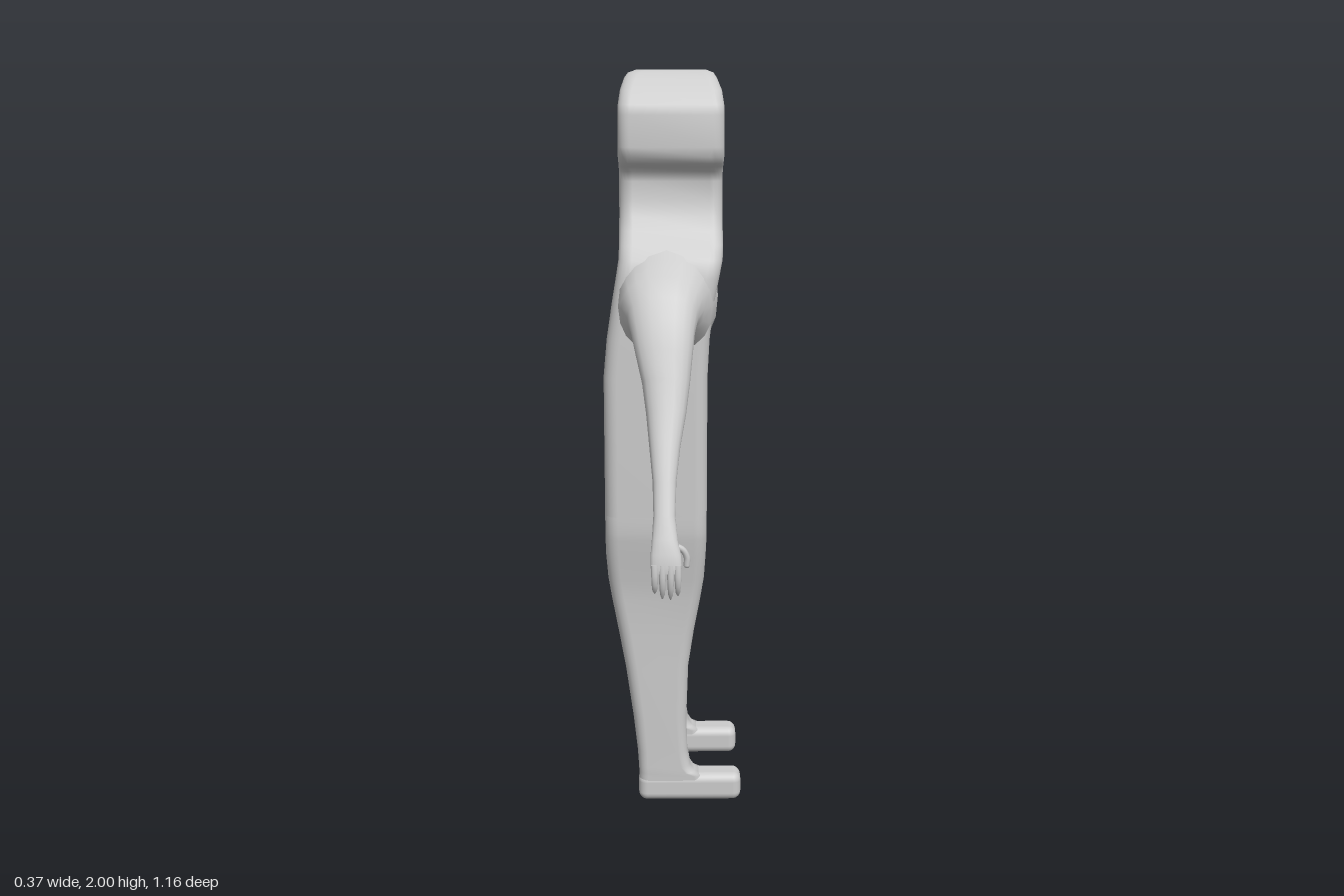
import * as THREE from 'three';
import { RoundedBoxGeometry } from 'three/addons/geometries/RoundedBoxGeometry.js';

const material = new THREE.MeshStandardMaterial({ color: 0xcccccc });

// Smooth skin through equal-length rings, closed with a flat cap at each end.
function loft(rings) {
  const n = rings[0].length, last = rings.length - 1;
  const points = rings.flat(), index = [];
  for (let j = 0; j < last; j++) {
    for (let i = 0; i < n; i++) {
      const k = (i + 1) % n, a = j * n, b = a + n;
      index.push(a + i, a + k, b + i, a + k, b + k, b + i);
    }
  }
  [0, last].forEach((j) => {
    const base = points.length;
    points.push(...rings[j]);
    for (let i = 1; i < n - 1; i++) {
      if (j) index.push(base, base + i, base + i + 1);
      else index.push(base, base + i + 1, base + i);
    }
  });
  const geometry = new THREE.BufferGeometry().setFromPoints(points);
  geometry.setIndex(index);
  geometry.computeVertexNormals();
  return geometry;
}

// Horizontal rounded rectangle at height y, spanning x0..x1 and z0..z1.
function boxRing([y, x0, x1, z0, z1, r]) {
  const ring = [], steps = 5;
  const corners = [[x1 - r, z0 + r], [x0 + r, z0 + r], [x0 + r, z1 - r], [x1 - r, z1 - r]];
  corners.forEach(([cx, cz], q) => {
    for (let i = 0; i <= steps; i++) {
      const t = (q + i / steps) * Math.PI / 2;
      ring.push(new THREE.Vector3(cx + r * Math.cos(t), y, cz - r * Math.sin(t)));
    }
  });
  return ring;
}

// Tilted oval spanning x0..x1 between an outer and an inner outline point.
function limbRing([x0, x1, zOut, yOut, zIn, yIn]) {
  return Array.from({ length: 20 }, (_, i) => {
    const t = i / 20 * Math.PI * 2;
    const c = Math.sign(Math.cos(t)) * Math.abs(Math.cos(t)) ** 0.85;
    const s = Math.sign(Math.sin(t)) * Math.abs(Math.sin(t)) ** 0.85;
    return new THREE.Vector3(
      (x0 + x1) / 2 + c * (x1 - x0) / 2,
      (yOut + yIn) / 2 + s * (yOut - yIn) / 2,
      (zOut + zIn) / 2 + s * (zOut - zIn) / 2);
  });
}

function part(name, geometry, parent) {
  const mesh = new THREE.Mesh(geometry, material);
  mesh.name = name;
  parent.add(mesh);
  return mesh;
}

// Torso, neck and head: y, back x, front x, half width, corner radius
const bodySections = [
  [0.845, -0.187, 0.085, 0.225, 0.035],
  [1.0, -0.187, 0.085, 0.226, 0.035],
  [1.22, -0.187, 0.085, 0.226, 0.035],
  [1.32, -0.178, 0.09, 0.225, 0.035],
  [1.42, -0.163, 0.102, 0.225, 0.035],
  [1.48, -0.153, 0.114, 0.223, 0.035],
  [1.525, -0.146, 0.123, 0.21, 0.035],
  [1.56, -0.145, 0.125, 0.18, 0.035],
  [1.595, -0.145, 0.125, 0.148, 0.035],
  [1.63, -0.145, 0.125, 0.127, 0.035],
  [1.67, -0.145, 0.125, 0.117, 0.035],
  [1.72, -0.145, 0.125, 0.112, 0.035],
  [1.745, -0.145, 0.125, 0.122, 0.035],
  [1.758, -0.145, 0.125, 0.145, 0.035],
  [1.768, -0.145, 0.125, 0.17, 0.035],
  [1.785, -0.146, 0.126, 0.185, 0.035],
  [1.81, -0.146, 0.126, 0.189, 0.03],
  [1.89, -0.146, 0.126, 0.187, 0.03],
  [1.915, -0.145, 0.125, 0.178, 0.03],
  [1.95, -0.14, 0.12, 0.15, 0.03],
  [1.98, -0.13, 0.108, 0.122, 0.03],
  [1.993, -0.12, 0.1, 0.105, 0.03],
  [2.0, -0.1, 0.082, 0.08, 0.03],
];

// Leg: y, back x, front x, inner z, outer z, corner radius
const legSections = [
  [0.02, -0.099, 0.08, 0.112, 0.188, 0.025],
  [0.075, -0.1, 0.078, 0.111, 0.189, 0.025],
  [0.085, -0.1, 0.055, 0.111, 0.19, 0.025],
  [0.105, -0.101, 0.042, 0.11, 0.19, 0.025],
  [0.15, -0.104, 0.035, 0.107, 0.19, 0.027],
  [0.25, -0.115, 0.032, 0.1, 0.191, 0.03],
  [0.4, -0.136, 0.037, 0.092, 0.191, 0.033],
  [0.5, -0.154, 0.052, 0.088, 0.191, 0.035],
  [0.6, -0.172, 0.07, 0.085, 0.194, 0.035],
  [0.66, -0.181, 0.079, 0.08, 0.202, 0.035],
  [0.73, -0.186, 0.083, 0.072, 0.214, 0.035],
  [0.78, -0.187, 0.085, 0.062, 0.222, 0.035],
  [0.8, -0.187, 0.085, 0.048, 0.224, 0.035],
  [0.825, -0.187, 0.085, 0.018, 0.225, 0.035],
  [0.85, -0.187, 0.085, -0.02, 0.225, 0.035],
];

// Arm: back x, front x, outer z and y, inner z and y
const armSections = [
  [-0.145, 0.112, 0.15, 1.58, 0.17, 1.28],
  [-0.147, 0.095, 0.215, 1.53, 0.225, 1.29],
  [-0.137, 0.075, 0.265, 1.492, 0.245, 1.325],
  [-0.122, 0.058, 0.305, 1.45, 0.268, 1.333],
  [-0.112, 0.049, 0.34, 1.395, 0.29, 1.32],
  [-0.1, 0.043, 0.367, 1.33, 0.31, 1.28],
  [-0.084, 0.036, 0.395, 1.26, 0.33, 1.215],
  [-0.074, 0.026, 0.425, 1.185, 0.367, 1.15],
  [-0.066, 0.011, 0.465, 1.1, 0.41, 1.085],
  [-0.058, 0.001, 0.5, 1.02, 0.453, 1.01],
  [-0.056, -0.002, 0.533, 0.945, 0.497, 0.935],
  [-0.06, 0.004, 0.557, 0.89, 0.53, 0.88],
  [-0.063, 0.012, 0.57, 0.855, 0.547, 0.85],
  [-0.063, 0.014, 0.577, 0.825, 0.558, 0.822],
  [-0.06, 0.011, 0.577, 0.808, 0.564, 0.808],
];

// Finger curl: half thickness in x, outer z and y, inner z and y
const fingerSections = [
  [0.0085, 0.577, 0.83, 0.56, 0.83],
  [0.0085, 0.581, 0.8, 0.565, 0.8],
  [0.0075, 0.577, 0.77, 0.563, 0.773],
  [0.006, 0.567, 0.748, 0.558, 0.754],
  [0.002, 0.558, 0.736, 0.555, 0.739],
];

function createSide(side) {
  const group = new THREE.Group();
  group.name = side + 'Limbs';

  part('leg', loft(legSections.map(boxRing)), group);
  part('foot', new RoundedBoxGeometry(0.286, 0.08, 0.08, 4, 0.024), group)
    .position.set(0.042, 0.04, 0.15);
  part('arm', loft(armSections.map(limbRing)), group);

  // Four curled fingers, the outer two slightly shorter
  [-0.053, -0.034, -0.014, 0.004].forEach((x, i) => {
    const lift = [0.016, 0.002, 0, 0.01][i];
    const rings = fingerSections.map(([h, zo, yo, zi, yi], j) =>
      limbRing([x - h, x + h, zo, yo + lift * j / 4, zi, yi + lift * j / 4]));
    part('finger', loft(rings), group);
  });

  // Thumb sticking forward, then bending down
  const thumb = new THREE.CatmullRomCurve3([
    new THREE.Vector3(-0.01, 0.875, 0.548),
    new THREE.Vector3(0.016, 0.86, 0.543),
    new THREE.Vector3(0.026, 0.84, 0.54),
    new THREE.Vector3(0.026, 0.82, 0.539),
  ]);
  part('thumb', new THREE.TubeGeometry(thumb, 14, 0.008, 10), group);
  part('thumbTip', new THREE.SphereGeometry(0.008, 10, 8), group)
    .position.copy(thumb.getPoint(1));
  return group;
}

export function createModel() {
  const model = new THREE.Group();
  model.name = 'figure';

  part('body', loft(bodySections.map(([y, x0, x1, w, r]) => boxRing([y, x0, x1, -w, w, r]))), model);

  const near = createSide('near');
  const far = createSide('far');
  far.scale.z = -1;
  model.add(near, far);
  return model;
}
